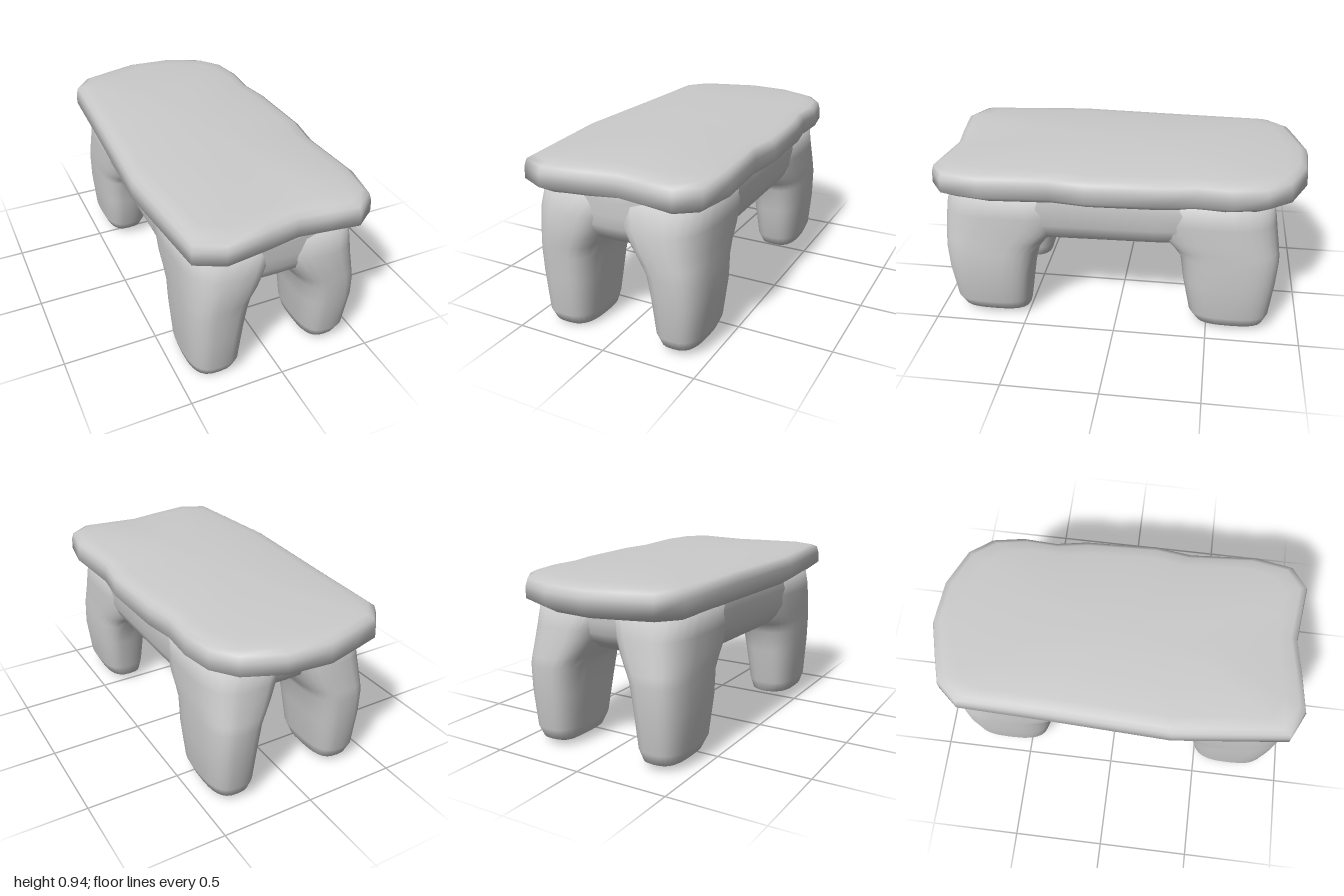
import * as THREE from 'three';

const material = new THREE.MeshStandardMaterial({ color: 0xcccccc });

// Skin closed rings of points, with a centre point capping each end.
function loft(name, rings, startCap, endCap) {
  const n = rings[0].length;
  const pos = [], index = [];
  rings.forEach((ring) => ring.forEach((p) => pos.push(...p)));
  pos.push(...startCap, ...endCap);
  const start = rings.length * n, end = start + 1, last = start - n;
  for (let j = 0; j < n; j++) {
    const k = (j + 1) % n;
    for (let i = 0; i < rings.length - 1; i++) {
      const a = i * n + j, b = i * n + k;
      index.push(a, b, b + n, a, b + n, a + n);
    }
    index.push(start, k, j, end, last + j, last + k);
  }
  const geometry = new THREE.BufferGeometry();
  geometry.setAttribute('position', new THREE.Float32BufferAttribute(pos, 3));
  geometry.setIndex(index);
  geometry.computeVertexNormals();
  const mesh = new THREE.Mesh(geometry, material);
  mesh.name = name;
  return mesh;
}

// Rounded rectangle between two corners, as [u, v] pairs.
function roundedSection(u0, u1, v0, v1, power, count = 28) {
  const bend = (c) => Math.sign(c) * Math.abs(c) ** (2 / power);
  return Array.from({ length: count }, (_, i) => {
    const t = (i / count) * Math.PI * 2;
    return [
      (u0 + u1) / 2 + ((u1 - u0) / 2) * bend(Math.cos(t)),
      (v0 + v1) / 2 + ((v1 - v0) / 2) * bend(Math.sin(t)),
    ];
  });
}

// Uneven plan of the seat as [x, z], scaled inwards for each layer.
function makeSeat() {
  const outline = [
    [-0.46, 0.92], [-0.32, 0.99], [-0.1, 0.96], [0.07, 0.93], [0.23, 0.95], [0.38, 0.97],
    [0.49, 0.89], [0.525, 0.69], [0.5, 0.33], [0.525, 0.14], [0.51, -0.25],
    [0.48, -0.42], [0.49, -0.6], [0.46, -0.77], [0.37, -0.89], [0.17, -0.98],
    [-0.06, -1], [-0.25, -0.95], [-0.39, -0.91], [-0.485, -0.8], [-0.5, -0.3], [-0.525, 0.32],
  ];
  // [inset, height]
  const layers = [
    [0.2, 0.745], [0.1, 0.745], [0.05, 0.756], [0, 0.797], [0.002, 0.86],
    [0.01, 0.895], [0.035, 0.91], [0.09, 0.92], [0.22, 0.93], [0.36, 0.937],
  ];
  const rings = layers.map(([d, y]) =>
    outline.map(([x, z]) => [x * (1 - d / 0.52), y, z * (1 - 1.4 * d)]));
  return loft('seat', rings, [0, 0.745, 0], [0, 0.94, 0]);
}

// Leg sections from the foot up: [y, x0, x1, z0, z1].
function makeLeg(name, sections) {
  const rings = sections.map(([y, x0, x1, z0, z1]) =>
    roundedSection(x0, x1, -z1, -z0, 2.9).map(([x, v]) => [x, y, -v]));
  const cap = ([y, x0, x1, z0, z1]) => [(x0 + x1) / 2, y, (z0 + z1) / 2];
  return loft(name, rings, cap(sections[0]), cap(sections.at(-1)));
}

// Thick body, nearly flush with the legs, its underside rising to an arch
// at both ends: [z, half width, underside].
function makeBody() {
  const sections = [
    [-0.775, 0.25, 0.69], [-0.765, 0.3, 0.63], [-0.735, 0.34, 0.58], [-0.66, 0.4, 0.53],
    [-0.55, 0.435, 0.49], [-0.4, 0.445, 0.455], [-0.2, 0.445, 0.443], [0.2, 0.445, 0.435],
    [0.45, 0.445, 0.43], [0.62, 0.445, 0.455], [0.75, 0.43, 0.49], [0.84, 0.385, 0.53],
    [0.885, 0.34, 0.57], [0.905, 0.3, 0.62], [0.91, 0.25, 0.68],
  ];
  const rings = sections.map(([z, w, y]) =>
    roundedSection(-w, w, y, 0.98, 3).map(([x, v]) => [x, Math.min(v, 0.8), z]));
  return loft('body', rings, [0, 0.75, -0.775], [0, 0.75, 0.91]);
}

export function createModel() {
  const group = new THREE.Group();
  group.name = 'bench';
  group.add(makeSeat(), makeBody());

  group.add(makeLeg('frontLeftLeg', [
    [0.025, 0.25, 0.38, 0.53, 0.82], [0.04, 0.22, 0.425, 0.5, 0.88], [0.1, 0.2, 0.453, 0.49, 0.91],
    [0.3, 0.18, 0.475, 0.46, 0.935], [0.42, 0.16, 0.47, 0.43, 0.945],
    [0.48, 0.12, 0.466, 0.38, 0.945], [0.54, 0.07, 0.463, 0.31, 0.945],
    [0.64, 0.0, 0.46, 0.24, 0.94], [0.78, -0.03, 0.45, 0.2, 0.91],
  ]));
  group.add(makeLeg('frontRightLeg', [
    [0.005, -0.36, -0.2, 0.54, 0.82], [0.02, -0.42, -0.175, 0.51, 0.88], [0.08, -0.437, -0.158, 0.49, 0.91],
    [0.3, -0.45, -0.135, 0.45, 0.93], [0.42, -0.452, -0.118, 0.43, 0.94],
    [0.48, -0.453, -0.1, 0.38, 0.945], [0.54, -0.455, -0.06, 0.31, 0.95],
    [0.66, -0.457, 0, 0.24, 0.95], [0.78, -0.45, 0.03, 0.2, 0.915],
  ]));
  // The back pair mirrors across the middle.
  for (const [name, s] of [['backLeftLeg', 1], ['backRightLeg', -1]]) {
    const sections = [
      [0.022, 0.24, 0.38, -0.77, -0.49], [0.04, 0.21, 0.42, -0.81, -0.44], [0.1, 0.19, 0.445, -0.835, -0.4],
      [0.3, 0.17, 0.46, -0.857, -0.36], [0.44, 0.15, 0.46, -0.866, -0.34],
      [0.49, 0.12, 0.46, -0.86, -0.3], [0.55, 0.08, 0.46, -0.85, -0.24],
      [0.65, 0.03, 0.455, -0.835, -0.18], [0.78, -0.01, 0.45, -0.81, -0.14],
    ].map(([y, a, b, z0, z1]) => (s > 0 ? [y, a, b, z0, z1] : [y, -b, -a, z0, z1]));
    group.add(makeLeg(name, sections));
  }
  return group;
}
